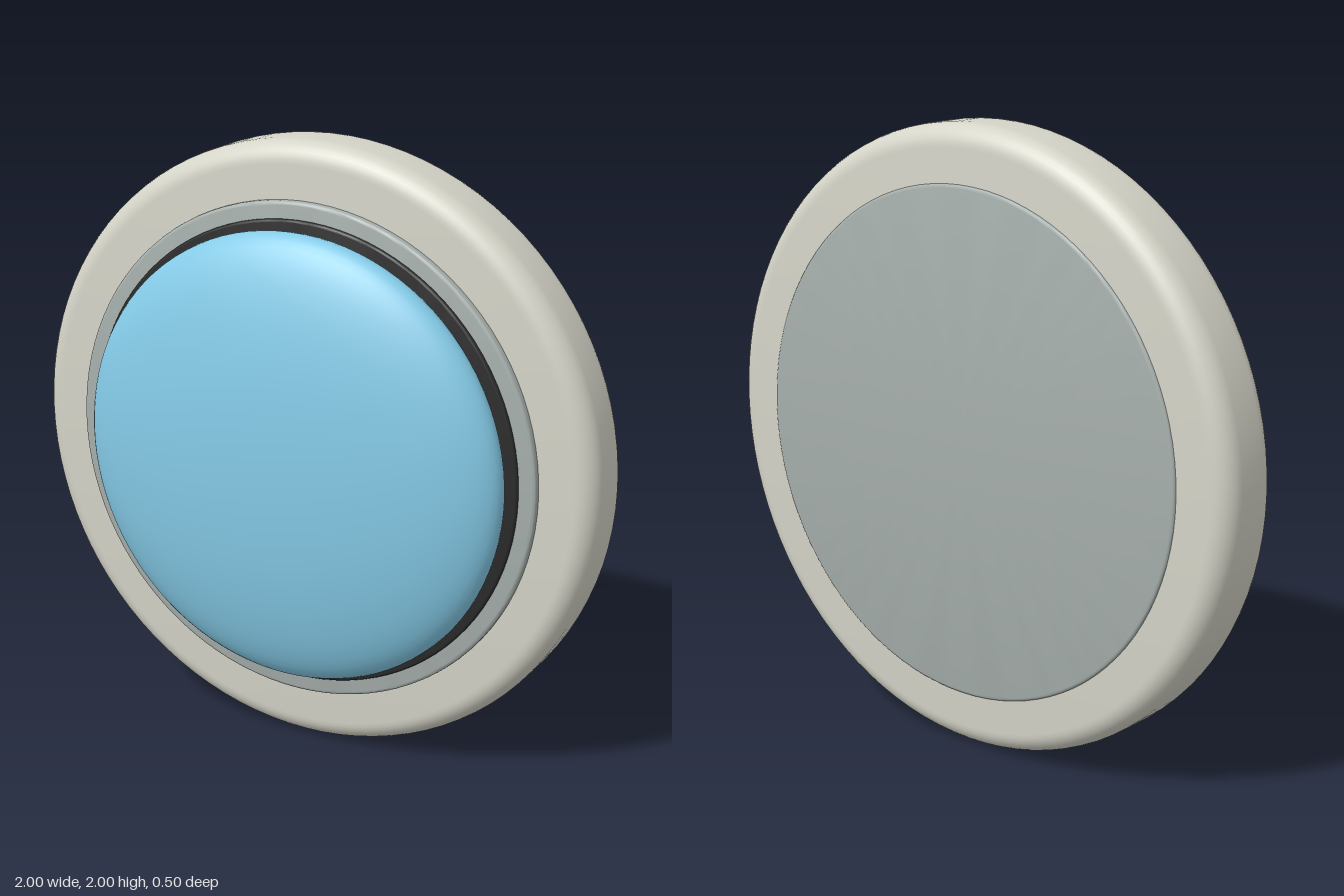
import * as THREE from 'three';
import { toCreasedNormals } from 'three/addons/utils/BufferGeometryUtils.js';

const material = (name, color) => {
  const m = new THREE.MeshStandardMaterial({ color });
  m.name = name;
  return m;
};

// Disc profile from back to front, with both outer edges rounded
function discProfile(radius, back, front, round, steps = 8) {
  const points = [new THREE.Vector2(0, back)];
  for (const [z, start] of [[back + round, -Math.PI / 2], [front - round, 0]]) {
    for (let i = 0; i <= steps; i++) {
      const a = start + (i / steps) * Math.PI / 2;
      points.push(new THREE.Vector2(radius - round + round * Math.cos(a), z + round * Math.sin(a)));
    }
  }
  points.push(new THREE.Vector2(0, front));
  return points;
}

// Half-ellipse profile for the bulging cap
function domeProfile(radius, depth, centre, steps = 40) {
  const points = [];
  for (let i = 0; i <= steps; i++) {
    const a = -Math.PI / 2 + (i / steps) * Math.PI;
    points.push(new THREE.Vector2(Math.max(0, radius * Math.cos(a)), centre + depth * Math.sin(a)));
  }
  return points;
}

export function createModel() {
  const group = new THREE.Group();

  // Turn a profile around the z axis, centred at mid height
  function addTurned(name, profile, mat) {
    const geometry = new THREE.LatheGeometry(profile, 96);
    geometry.rotateX(Math.PI / 2);
    const mesh = new THREE.Mesh(toCreasedNormals(geometry, 0.5), mat);
    mesh.name = name;
    mesh.position.y = 1;
    group.add(mesh);
  }

  // Broad outer rim
  addTurned('outerRim', discProfile(1, -0.245, 0, 0.07), material('warm light grey', 0xd4d4c8));

  // Inner collar, showing through on the back as a plate
  addTurned('collar', discProfile(0.82, -0.253, 0.024, 0.012, 4), material('cool grey', 0xa6afac));

  // Dark gap ring around the cap
  addTurned('gapRing', discProfile(0.765, -0.2, 0.036, 0.008, 4), material('near black', 0x2a2a2a));

  // Domed push cap
  addTurned('pushCap', domeProfile(0.738, 0.175, 0.075), material('sky blue', 0x87ceeb));

  return group;
}
